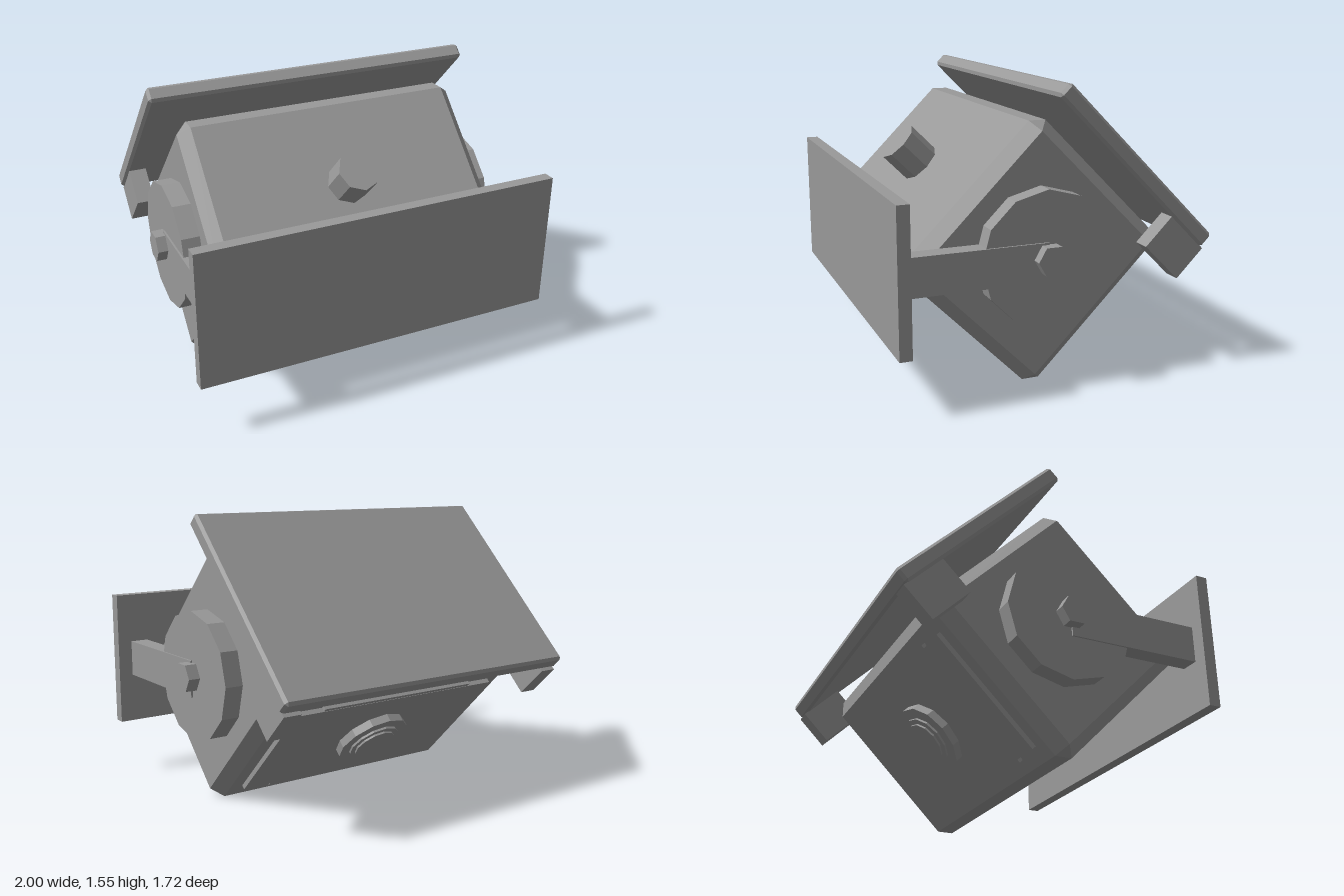
import * as THREE from 'three';
import { ConvexGeometry } from 'three/addons/geometries/ConvexGeometry.js';

const grey = new THREE.MeshStandardMaterial({ color: 0x999999 });
grey.name = 'plain grey';
grey.flatShading = true;

function add(parent, name, geometry, x = 0, y = 0, z = 0) {
  const mesh = new THREE.Mesh(geometry, grey);
  mesh.name = name;
  mesh.position.set(x, y, z);
  parent.add(mesh);
  return mesh;
}

const box = (w, h, d) => new THREE.BoxGeometry(w, h, d);

// Box with every edge cut at 45 degrees
function chamferedBox(w, h, d, c) {
  const points = [];
  for (const sx of [-1, 1]) for (const sy of [-1, 1]) for (const sz of [-1, 1]) {
    for (let axis = 0; axis < 3; axis++) {
      const inset = [c, c, c];
      inset[axis] = 0;
      points.push(new THREE.Vector3(
        sx * (w / 2 - inset[0]), sy * (h / 2 - inset[1]), sz * (d / 2 - inset[2])));
    }
  }
  return new ConvexGeometry(points);
}

export function createModel() {
  const model = new THREE.Group();
  model.name = 'tiltedCase';

  // Everything that leans with the case
  const tilted = new THREE.Group();
  tilted.name = 'tiltedAssembly';
  tilted.position.set(0, 0.6725, 0.0775);
  tilted.rotation.x = Math.PI / 4;
  model.add(tilted);

  add(tilted, 'body', chamferedBox(1.62, 1.004, 1.04, 0.064));
  add(tilted, 'knob', new THREE.CylinderGeometry(0.115, 0.115, 0.2, 8), 0, 0.586, 0);
  add(tilted, 'lid', chamferedBox(1.86, 1.18, 0.087, 0.015), 0, -0.046, -0.655);

  // Underside panel with a wider middle and a stepped round boss
  add(tilted, 'backPanel', box(1.34, 0.04, 0.73), 0, -0.508, 0);
  add(tilted, 'backPanelMiddle', box(1.0, 0.036, 0.77), 0, -0.508, 0);
  for (const [name, radius, bottom] of [
    ['bossBase', 0.21, 0.573], ['bossStep', 0.15, 0.585], ['bossCentre', 0.12, 0.596]]) {
    const height = bottom - 0.5;
    add(tilted, name, new THREE.CylinderGeometry(radius, radius, height, 12), 0, -0.5 - height / 2, 0);
  }

  // Front plate
  add(model, 'frontPlate', box(2, 0.75, 0.065), 0, 0.67, 0.8325);

  // Hinges, pivot discs, support arms and bolts on both sides
  for (const [side, s] of [['left', 1], ['right', -1]]) {
    add(tilted, side + 'Hinge', box(0.1, 0.27, 0.21), s * 0.865, -0.516, -0.51);
    const disc = new THREE.CylinderGeometry(0.35, 0.35, 0.105, 12).rotateZ(Math.PI / 2);
    add(model, side + 'PivotDisc', disc, s * 0.8575, 0.685, 0.07);
    add(model, side + 'Arm', box(0.1, 0.2, 0.735), s * 0.87, 0.67, 0.4375);
    const bolt = new THREE.CylinderGeometry(0.082, 0.082, 0.075, 6).rotateZ(Math.PI / 2);
    add(model, side + 'Bolt', bolt, s * 0.9375, 0.688, 0.067);
  }
  return model;
}
